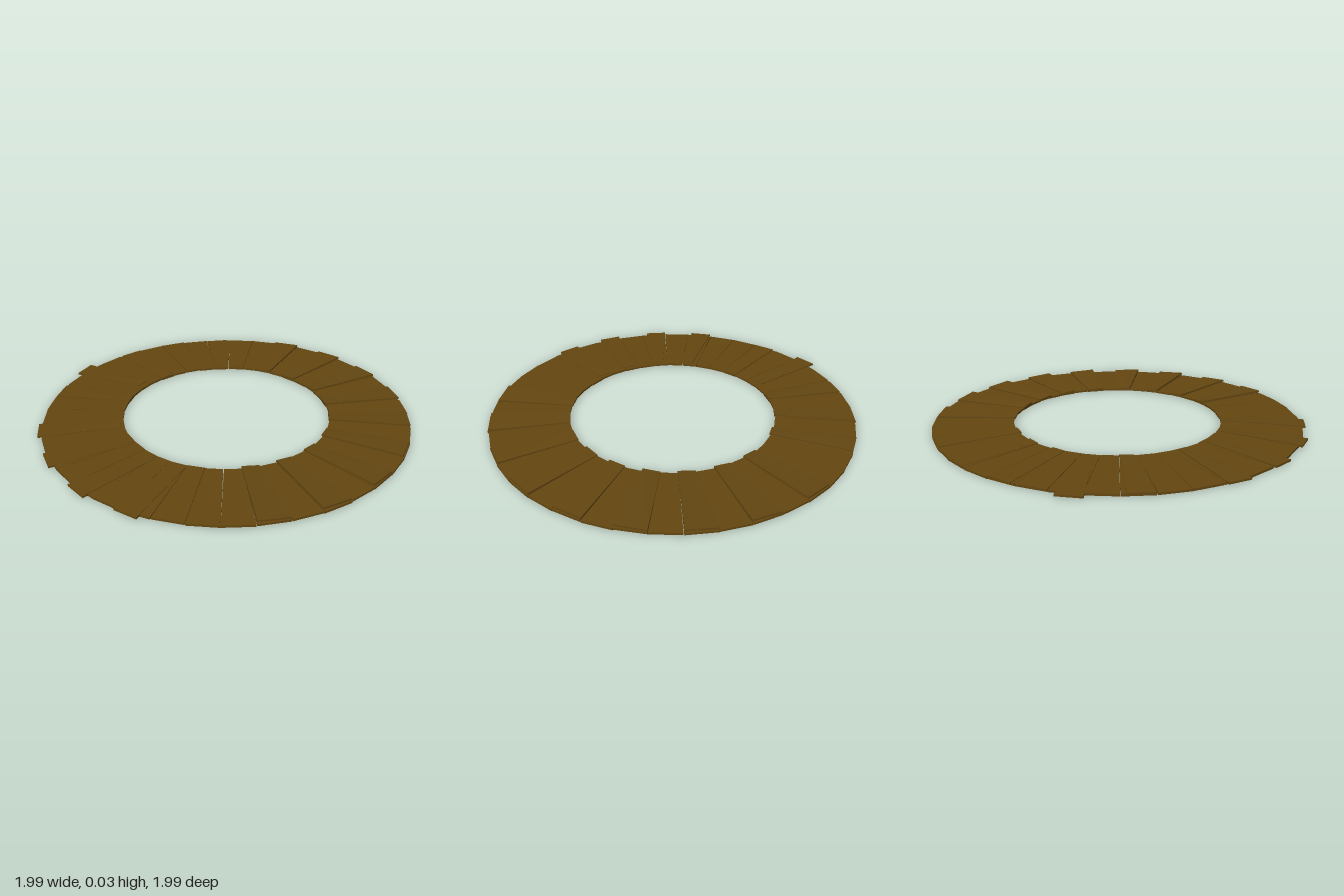
import * as THREE from 'three';

const COUNT = 40, STEP = 360 / COUNT, INNER = 0.565, OUTER = 0.993;
const rad = THREE.MathUtils.degToRad;

// Repeatable variation in -1..1
let seed = 7;
const vary = () => {
  seed = (seed * 16807) % 2147483647;
  return (seed / 2147483647) * 2 - 1;
};

const wood = new THREE.MeshStandardMaterial({ color: 0x644711, flatShading: true });

// Tapered plank lying across the ring: a box bent to radius and angle.
// shift slides it outward, skew turns it, tilt raises one long edge, pitch raises the outer end.
function plank(name, { angle, width = STEP, shift = 0, skew = 0, y = 0, thick = 0.011, tilt = 0, pitch = 0 }) {
  const geo = new THREE.BoxGeometry(1, 1, 1);
  const p = geo.attributes.position;
  const mid = (INNER + OUTER) / 2;
  for (let i = 0; i < p.count; i++) {
    const u = p.getX(i) + 0.5, v = p.getZ(i);
    const r = INNER + u * (OUTER - INNER);
    const a = rad(v * width);
    const dx = r * Math.cos(a) - mid, dz = r * Math.sin(a);
    const c = Math.cos(rad(skew)), s = Math.sin(rad(skew));
    const h = y + (p.getY(i) + 0.5) * thick + tilt * (v + 0.5) + pitch * u;
    p.setXYZ(i, mid + shift + dx * c - dz * s, h, dx * s + dz * c);
  }
  geo.computeVertexNormals();
  const mesh = new THREE.Mesh(geo, wood);
  mesh.name = name;
  mesh.rotation.y = -rad(angle);
  return mesh;
}

export function createModel() {
  const model = new THREE.Group();
  model.name = 'plankRing';

  // Ground course of planks, butted edge to edge
  const base = new THREE.Group();
  base.name = 'basePlanks';
  for (let i = 0; i < COUNT; i++) {
    base.add(plank('basePlank', {
      angle: (i + 0.5) * STEP, width: STEP * 0.985,
      y: 0.001 + 0.001 * vary(), skew: 0.5 * vary(), shift: 0.003 * vary(),
    }));
  }
  model.add(base);

  // Every second plank on the +x half is propped up
  const raised = new THREE.Group();
  raised.name = 'raisedPlanks';
  for (let k = -4; k <= 4; k++) {
    raised.add(plank('raisedPlank', {
      angle: STEP / 2 + k * 2 * STEP, skew: 0.8 * vary(), shift: -0.004,
      y: 0.006, thick: 0.01, tilt: 0.007, pitch: 0.007,
    }));
  }
  model.add(raised);

  // Skewed planks that slipped outward on the -x half: [angle, shift, skew]
  const loose = new THREE.Group();
  loose.name = 'loosePlanks';
  [[211, 0.04, -5], [166, 0.02, 4], [148.5, 0.022, 5], [130.5, 0.025, 5], [113.5, 0.022, 5],
    [229.5, 0, 2], [247.5, -0.004, 2], [265.5, -0.01, -2], [193.5, 0, -2]].forEach(([angle, shift, skew]) =>
    loose.add(plank('loosePlank', {
      angle, shift, skew, width: STEP * 0.8, y: 0.004, thick: 0.01, tilt: 0.003,
    })));
  model.add(loose);

  return model;
}
